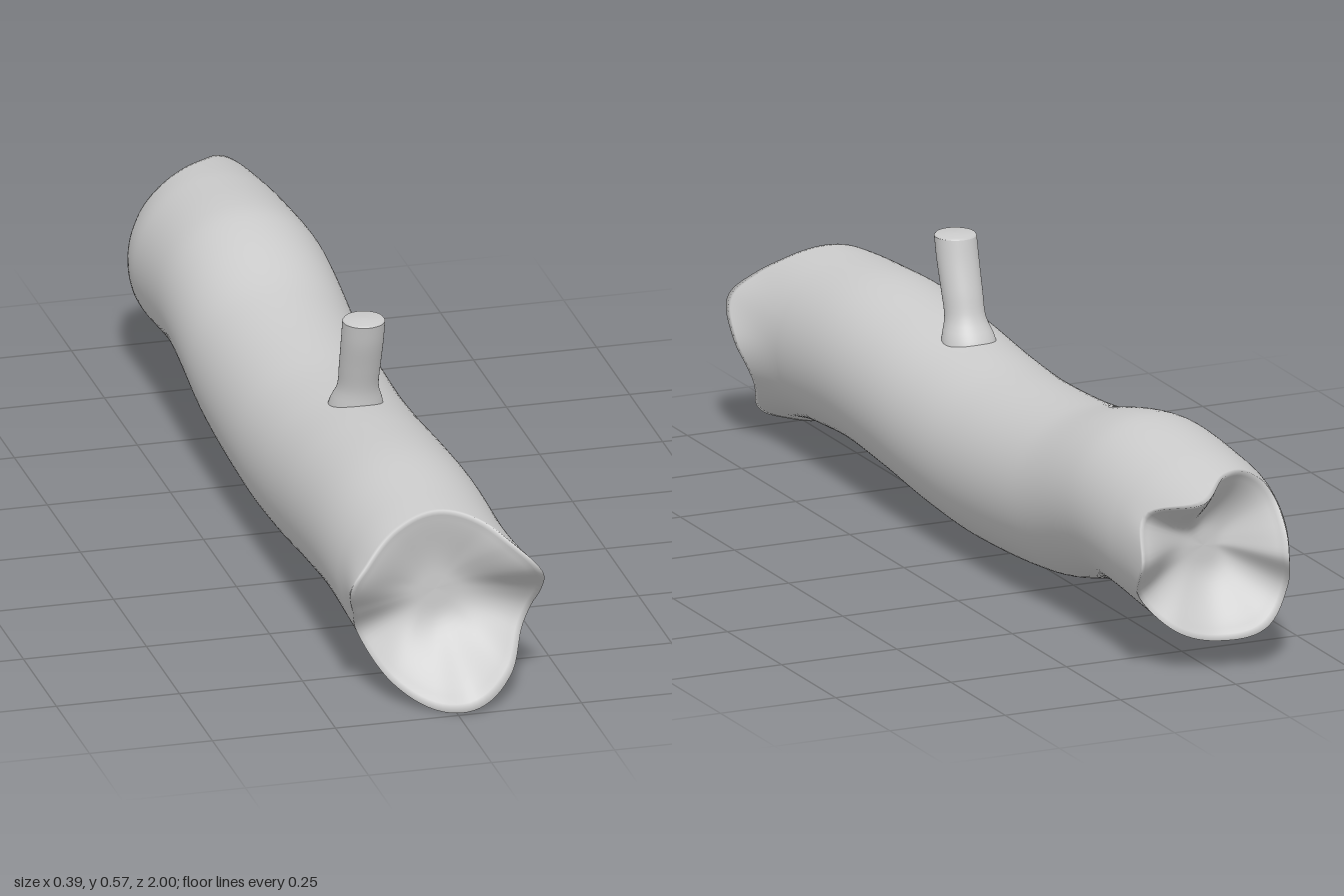
import * as THREE from 'three';

const SEG = 96;
const material = new THREE.MeshStandardMaterial({ color: 0xcccccc });
const { lerp, smoothstep } = THREE.MathUtils;

// Smooth interpolation through keys [position, value, value...]
function sample(keys, x, column = 1) {
  let i = 0;
  while (i < keys.length - 2 && x > keys[i + 1][0]) i++;
  const at = (k) => keys[Math.min(Math.max(k, 0), keys.length - 1)];
  const a = at(i), b = at(i + 1), h = b[0] - a[0];
  const t = Math.min(Math.max((x - a[0]) / h, 0), 1);
  const slope = (p, q) => (q[0] === p[0] ? 0 : (q[column] - p[column]) / (q[0] - p[0]));
  const m0 = slope(at(i - 1), b) * h, m1 = slope(a, at(i + 2)) * h;
  const t2 = t * t, t3 = t2 * t;
  return (2 * t3 - 3 * t2 + 1) * a[column] + (t3 - 2 * t2 + t) * m0
    + (3 * t2 - 2 * t3) * b[column] + (t3 - t2) * m1;
}

// Repeat keys given in degrees so they join smoothly around the circle
const around = (keys) => [-360, 0, 360].flatMap((o) => keys.map(([a, ...v]) => [a + o, ...v]));

// Surface from closed rings; each ring is a function of degrees -> [x, y, z]
function loft(name, rings) {
  const pos = [], index = [];
  rings.forEach((ring, i) => {
    for (let j = 0; j < SEG; j++) {
      pos.push(...ring((j / SEG) * 360));
      if (i === 0) continue;
      const k = (j + 1) % SEG, p = (i - 1) * SEG, q = i * SEG;
      index.push(p + j, p + k, q + k, p + j, q + k, q + j);
    }
  });
  const geo = new THREE.BufferGeometry();
  geo.setAttribute('position', new THREE.Float32BufferAttribute(pos, 3));
  geo.setIndex(index);
  geo.computeVertexNormals();
  const mesh = new THREE.Mesh(geo, material);
  mesh.name = name;
  return mesh;
}

// Height of the trunk's centre line along z
const centreLine = [
  [-1, 0.225], [-0.9, 0.238], [-0.8, 0.25], [-0.6, 0.266], [-0.5, 0.254], [-0.3, 0.208],
  [0, 0.187], [0.2, 0.195], [0.4, 0.215], [0.6, 0.228], [0.8, 0.219], [1, 0.212],
];

// Broken rims: angle, z of the edge, radius of the edge
const frontRim = around([
  [0, 0.91, 0.203], [20, 0.975, 0.198], [40, 0.955, 0.18], [60, 0.915, 0.175], [90, 0.885, 0.175],
  [120, 0.89, 0.17], [150, 0.92, 0.178], [167, 0.925, 0.192], [190, 0.87, 0.172], [215, 0.83, 0.178],
  [240, 0.91, 0.198], [265, 0.975, 0.212], [285, 1, 0.208], [310, 0.95, 0.205], [330, 0.89, 0.192],
  [345, 0.88, 0.195],
]);
const backRim = around([
  [5, -0.945, 0.187], [30, -0.88, 0.175], [62, -1, 0.172], [90, -0.93, 0.172], [115, -0.89, 0.17],
  [140, -0.89, 0.16], [165, -0.94, 0.135], [183, -0.955, 0.128], [210, -0.92, 0.16],
  [240, -0.93, 0.175], [270, -0.905, 0.175], [300, -0.89, 0.175], [330, -0.86, 0.175],
]);

const RADIUS = 0.175, CX = -0.01;

function trunkPoint(deg, r, z, yz = z) {
  const a = THREE.MathUtils.degToRad(deg);
  return [CX + r * Math.cos(a), sample(centreLine, yz) + r * Math.sin(a), z];
}

// Rings from the plain trunk out to the rim, then inward over the hollow end
function brokenEnd(rim, start, hollowZ) {
  const rings = [];
  for (let i = 1; i <= 14; i++) {
    const t = i / 14;
    rings.push((d) => trunkPoint(d, lerp(RADIUS, sample(rim, d, 2), t * t), lerp(start, sample(rim, d), t)));
  }
  for (let i = 1; i <= 16; i++) {
    const s = i / 16;
    rings.push((d) => {
      const edge = sample(rim, d);
      const z = lerp(edge, hollowZ, smoothstep(s, -0.12, 0.8) * 0.97 + 0.03 * s);
      return trunkPoint(d, sample(rim, d, 2) * (1 - s), z, lerp(edge, Math.sign(edge) * 0.9, s));
    });
  }
  return rings;
}

export function createModel() {
  const group = new THREE.Group();
  group.name = 'log';

  // Trunk with two jagged hollow ends
  const body = [];
  for (let i = 0; i <= 60; i++) {
    const z = lerp(-0.77, 0.77, i / 60);
    body.push((d) => trunkPoint(d, RADIUS, z));
  }
  group.add(loft('trunk', [
    ...brokenEnd(backRim, -0.77, -0.83).reverse(),
    ...body,
    ...brokenEnd(frontRim, 0.77, 0.86),
  ]));

  // Branch stub: height, z of centre, radius
  const stub = [
    [0.33, 0.245, 0.06], [0.375, 0.253, 0.052], [0.41, 0.267, 0.041],
    [0.46, 0.282, 0.041], [0.52, 0.301, 0.042], [0.565, 0.312, 0.042],
  ];
  const branchRing = (y, z, r) => (d) => {
    const a = THREE.MathUtils.degToRad(d);
    return [-0.008 + r * Math.cos(a), y, z - r * Math.sin(a)];
  };
  const branch = [];
  for (let i = 0; i <= 20; i++) {
    const y = lerp(0.33, 0.565, i / 20);
    branch.push(branchRing(y, sample(stub, y), sample(stub, y, 2)));
  }
  group.add(loft('branch', branch));

  // Flat cut on the branch with a slightly softened edge
  group.add(loft('branchCut', [
    branchRing(0.565, 0.312, 0.042), branchRing(0.569, 0.312, 0.039), branchRing(0.57, 0.312, 0),
  ]));
  return group;
}
